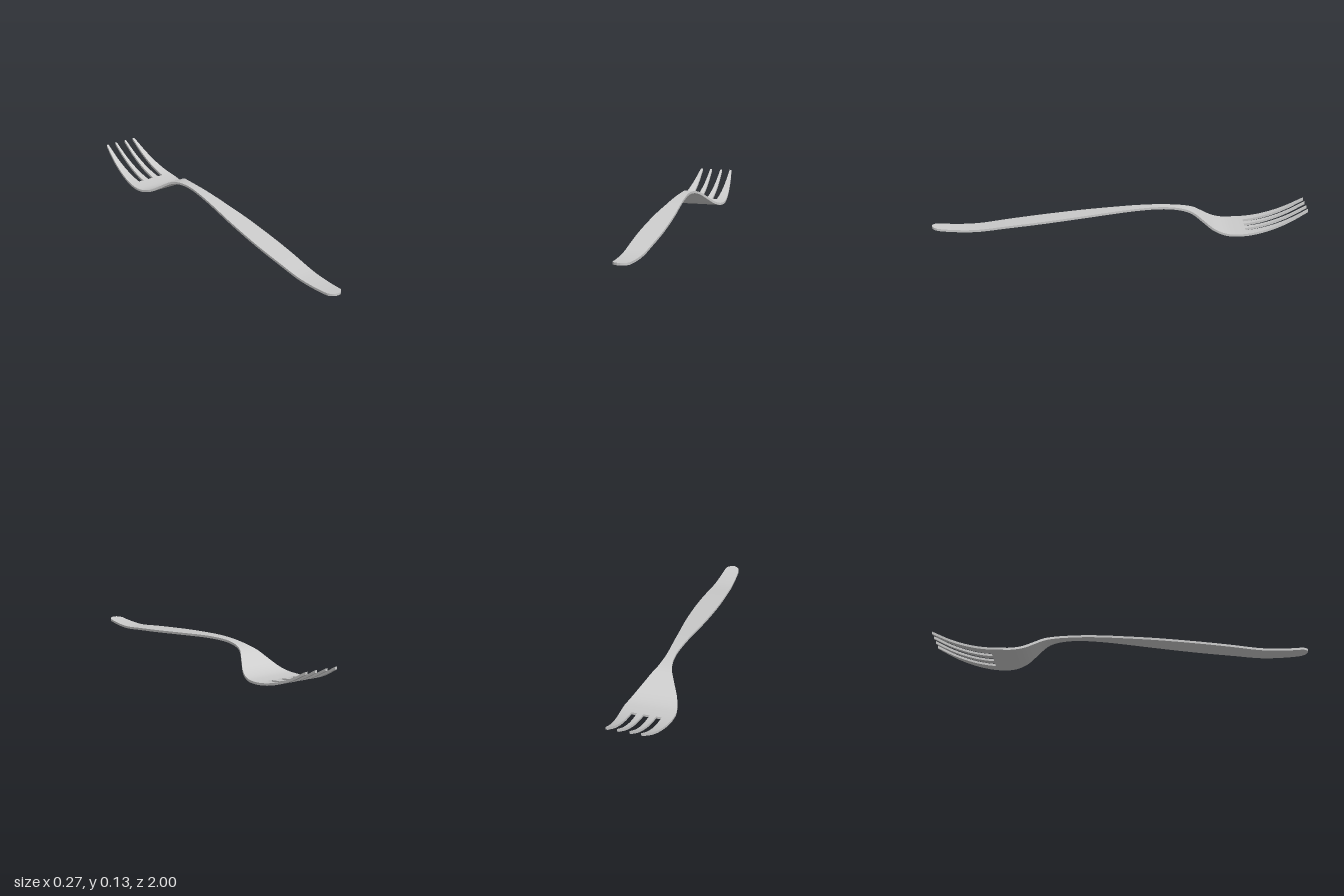
import * as THREE from 'three';
import { toCreasedNormals } from 'three/addons/utils/BufferGeometryUtils.js';

const THICKNESS = 0.012;
const SLOT_Z = -0.675; // where the tines begin

// Height of the centre line along z
const height = spline([
  [1, 0.017], [0.93, 0.01], [0.83, 0.007], [0.74, 0.011], [0.6, 0.03], [0.4, 0.056], [0.2, 0.082],
  [0, 0.106], [-0.1, 0.116], [-0.2, 0.122], [-0.28, 0.121], [-0.35, 0.113], [-0.4, 0.097],
  [-0.45, 0.064], [-0.5, 0.031], [-0.55, 0.013], [-0.6, 0.007], [-0.7, 0.013], [-0.8, 0.036],
  [-0.9, 0.075], [-1, 0.129],
]);

// Half width of the outline along z
const halfWidth = spline([
  [1, 0.038], [0.93, 0.043], [0.7, 0.053], [0.45, 0.059], [0.2, 0.052], [0, 0.037], [-0.1, 0.03],
  [-0.2, 0.024], [-0.26, 0.023], [-0.32, 0.027], [-0.38, 0.04], [-0.44, 0.071], [-0.5, 0.104],
  [-0.55, 0.122], [-0.6, 0.133], [-0.64, 0.135], [-0.7, 0.132], [-0.8, 0.122], [-0.9, 0.11], [-1, 0.095],
]);

// Smooth curve through [z, value] points listed by falling z
function spline(pts) {
  const slope = (i) => {
    const a = pts[Math.max(i - 1, 0)], b = pts[Math.min(i + 1, pts.length - 1)];
    return (b[1] - a[1]) / (b[0] - a[0]);
  };
  return (z) => {
    let i = 0;
    while (i < pts.length - 2 && z < pts[i + 1][0]) i++;
    const [z0, v0] = pts[i], [z1, v1] = pts[i + 1];
    const h = z1 - z0, t = (z - z0) / h, t2 = t * t, t3 = t2 * t;
    return (2 * t3 - 3 * t2 + 1) * v0 + (t3 - 2 * t2 + t) * h * slope(i)
      + (3 * t2 - 2 * t3) * v1 + (t3 - t2) * h * slope(i + 1);
  };
}

const range = (from, to, n) => Array.from({ length: n + 1 }, (_, i) => from + (to - from) * i / n);

// Sheet-metal strip following the centre line, between the edges xMin(z) and xMax(z)
function strip(name, zs, xMin, xMax, rootCap, material) {
  const positions = [], index = [];
  zs.forEach((z) => {
    const e = 0.004;
    const zc = THREE.MathUtils.clamp(z, -1 + e, 1 - e);
    const s = (height(zc + e) - height(zc - e)) / (2 * e);
    const y = height(z), d = THICKNESS / 2 * Math.sqrt(1 + s * s);
    const a = xMin(z), b = xMax(z);
    positions.push(a, y - d, z, b, y - d, z, b, y + d, z, a, y + d, z);
  });
  const n = zs.length;
  for (let i = 0; i < n - 1; i++) {
    for (let k = 0; k < 4; k++) {
      const a = i * 4 + k, b = i * 4 + (k + 1) % 4;
      index.push(a, a + 4, b, b, a + 4, b + 4);
    }
  }
  const c = (n - 1) * 4;
  if (rootCap) index.push(0, 1, 2, 0, 2, 3);
  index.push(c, c + 2, c + 1, c, c + 3, c + 2);
  const geometry = new THREE.BufferGeometry();
  geometry.setAttribute('position', new THREE.Float32BufferAttribute(positions, 3));
  geometry.setIndex(index);
  const mesh = new THREE.Mesh(toCreasedNormals(geometry, 0.6), material);
  mesh.name = name;
  return mesh;
}

export function createModel() {
  const group = new THREE.Group();
  group.name = 'fork';
  const material = new THREE.MeshStandardMaterial({ color: 0xcccccc });

  // Handle, neck and head in one strip, with a rounded handle end
  const round = 0.04;
  const bodyHalf = (z) => {
    const t = Math.max(0, (z - (1 - round)) / round);
    return halfWidth(z) * Math.sqrt(Math.max(0.03, 1 - t * t));
  };
  const endZs = range(0, Math.PI / 2, 12).map((a) => 1 - round + round * Math.cos(a));
  const bodyZs = [...endZs, ...range(1 - round, SLOT_Z, 110).slice(1)];
  group.add(strip('handleAndHead', bodyZs, (z) => -bodyHalf(z), bodyHalf, true, material));

  // Four tapering tines, mirrored in pairs
  const tineZs = range(SLOT_Z, -1, 28);
  const taper = (root, tip) => (z) => THREE.MathUtils.mapLinear(z, SLOT_Z, -1, root, tip);
  const tines = [
    ['innerTine', taper(0.016, 0.026), taper(0.05, 0.037)],
    ['outerTine', taper(0.079, 0.083), halfWidth],
  ];
  for (const [name, inner, outer] of tines) {
    group.add(strip(name + 'Left', tineZs, inner, outer, false, material));
    group.add(strip(name + 'Right', tineZs, (z) => -outer(z), (z) => -inner(z), false, material));
  }
  return group;
}
